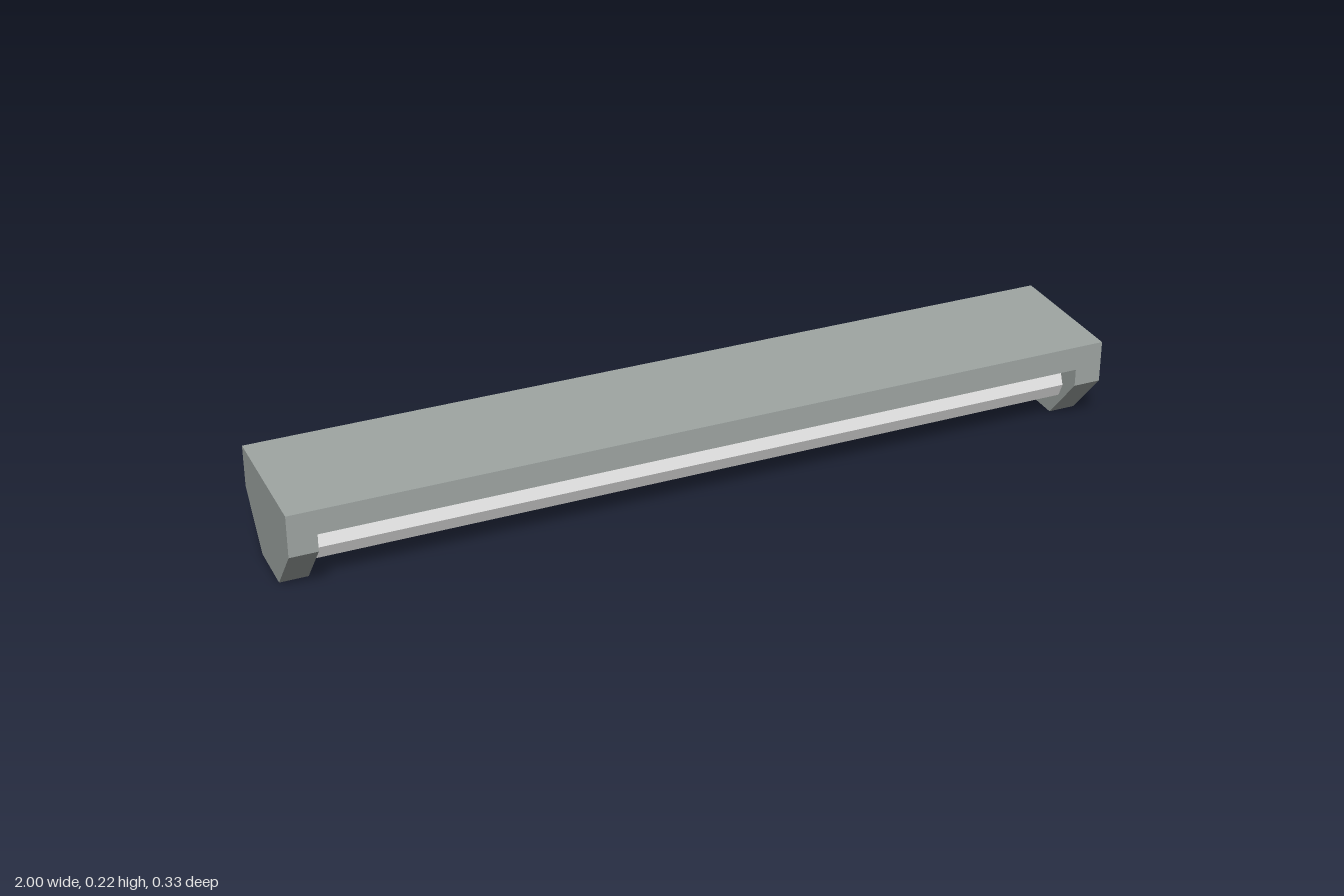
import * as THREE from 'three';

const HALF_LENGTH = 1, CAP = 0.067, HEIGHT = 0.223, HALF_DEPTH = 0.167;
const INNER = HALF_LENGTH - CAP;

export function createModel() {
  const group = new THREE.Group();
  group.name = 'twinTubeLightFixture';
  const housing = new THREE.MeshStandardMaterial({ color: 0x9fa6a3 });
  housing.name = 'greyHousing';
  const glass = new THREE.MeshStandardMaterial({ color: 0xdcdcdc, flatShading: true });
  glass.name = 'paleTube';

  const add = (name, geometry, material, x, y, z) => {
    const mesh = new THREE.Mesh(geometry, material);
    mesh.name = name;
    mesh.position.set(x, y, z);
    group.add(mesh);
  };

  // Flat ceiling plate between the end caps
  const underside = 0.163;
  add('topPlate', new THREE.BoxGeometry(INNER * 2, HEIGHT - underside, HALF_DEPTH * 2),
    housing, 0, (HEIGHT + underside) / 2, 0);

  // End caps: tapered profile in z/y, extruded along x
  const profile = new THREE.Shape([
    [-0.065, 0], [0.065, 0], [HALF_DEPTH, 0.12],
    [HALF_DEPTH, HEIGHT], [-HALF_DEPTH, HEIGHT], [-HALF_DEPTH, 0.12],
  ].map(([z, y]) => new THREE.Vector2(z, y)));
  const capGeometry = new THREE.ExtrudeGeometry(profile, { depth: CAP, bevelEnabled: false });
  capGeometry.rotateY(Math.PI / 2);
  add('leftEndCap', capGeometry, housing, INNER, 0, 0);
  add('rightEndCap', capGeometry, housing, -HALF_LENGTH, 0, 0);

  // Two eight-sided tubes spanning the caps
  const tubeGeometry = new THREE.CylinderGeometry(0.048, 0.048, INNER * 2, 8);
  tubeGeometry.rotateZ(Math.PI / 2);
  add('frontTube', tubeGeometry, glass, 0, 0.097, 0.066);
  add('backTube', tubeGeometry, glass, 0, 0.097, -0.066);

  return group;
}
